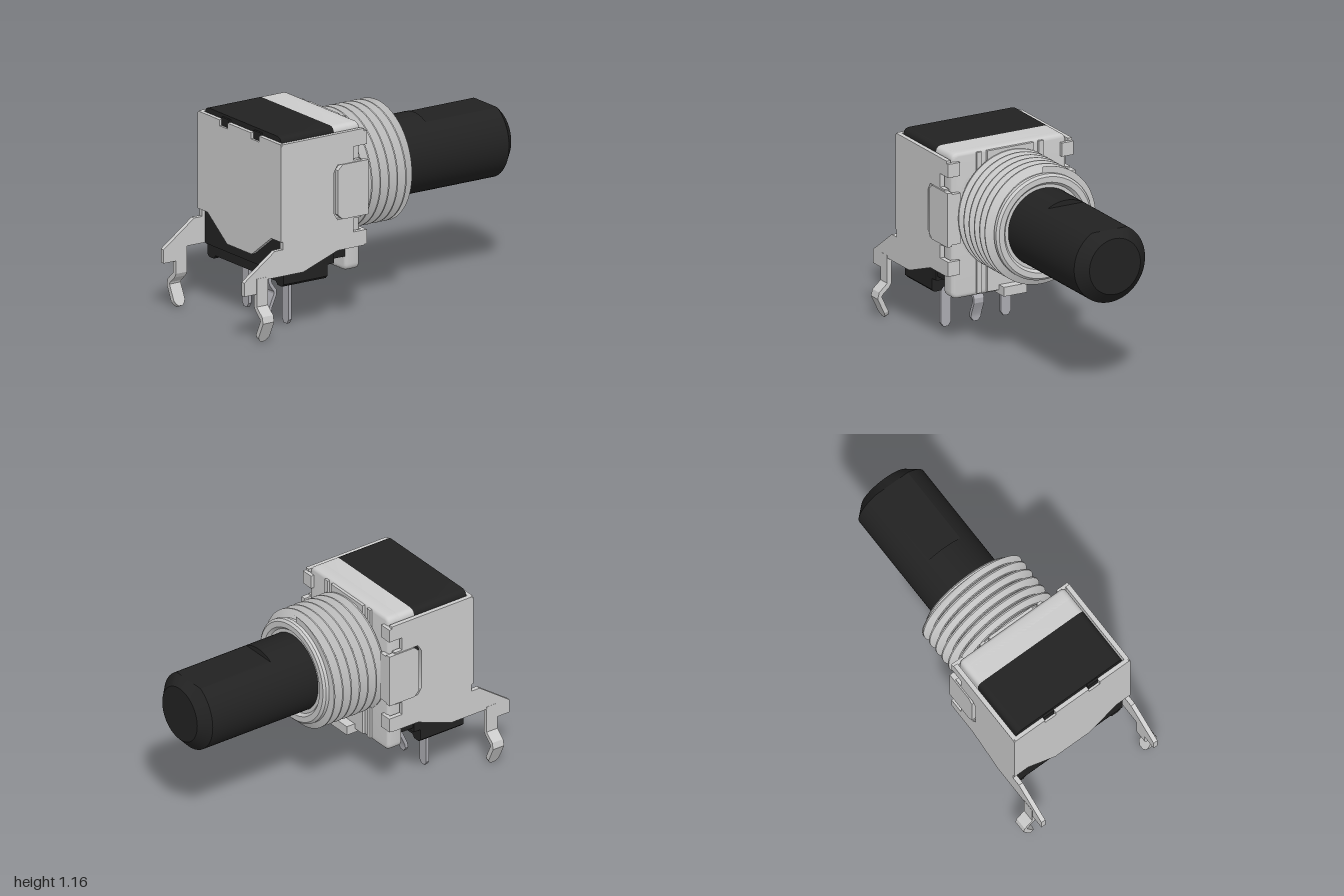
import * as THREE from 'three';
import { toCreasedNormals } from 'three/addons/utils/BufferGeometryUtils.js';

const AXIS_Y = 0.78;

export function createModel() {
  const model = new THREE.Group();
  const metal = new THREE.MeshStandardMaterial({ color: 0xcccccc });
  metal.name = 'light metal';
  const pinMetal = new THREE.MeshStandardMaterial({ color: 0xacacb2 });
  pinMetal.name = 'pin metal';
  const black = new THREE.MeshStandardMaterial({ color: 0x222222 });
  black.name = 'black plastic';

  const add = (name, geometry, material) => {
    const mesh = new THREE.Mesh(geometry, material);
    mesh.name = name;
    model.add(mesh);
    return mesh;
  };
  // Box given by its limits on each axis
  const box = (name, x0, x1, y0, y1, z0, z1, material) =>
    add(name, new THREE.BoxGeometry(x1 - x0, y1 - y0, z1 - z0), material)
      .position.set((x0 + x1) / 2, (y0 + y1) / 2, (z0 + z1) / 2);
  const outline = (points) => new THREE.Shape(points.map(([a, b]) => new THREE.Vector2(a, b)));
  const roundRect = (x0, x1, y0, y1, top, bottom) => {
    const s = new THREE.Shape();
    s.moveTo(x0 + bottom, y0).lineTo(x1 - bottom, y0);
    s.quadraticCurveTo(x1, y0, x1, y0 + bottom).lineTo(x1, y1 - top);
    s.quadraticCurveTo(x1, y1, x1 - top, y1).lineTo(x0 + top, y1);
    s.quadraticCurveTo(x0, y1, x0, y1 - top).lineTo(x0, y0 + bottom);
    s.quadraticCurveTo(x0, y0, x0 + bottom, y0);
    return s;
  };
  const extrudeZ = (shape, z0, z1, bevel = 0) => {
    const g = new THREE.ExtrudeGeometry(shape, {
      depth: z1 - z0 - 2 * bevel, curveSegments: 6, bevelEnabled: bevel > 0,
      bevelSize: bevel, bevelThickness: bevel, bevelOffset: -bevel, bevelSegments: 3,
    });
    return toCreasedNormals(g.translate(0, 0, z0 + bevel), 0.6);
  };
  // Bent strip from sections [x, y, width across z]
  const strip = (path, thick) => {
    const pos = [], index = [];
    path.forEach(([x, y, w], i) => {
      const a = path[Math.max(i - 1, 0)], b = path[Math.min(i + 1, path.length - 1)];
      const len = Math.hypot(b[0] - a[0], b[1] - a[1]);
      const nx = -(b[1] - a[1]) / len * thick / 2, ny = (b[0] - a[0]) / len * thick / 2;
      for (const [sn, sw] of [[1, 1], [-1, 1], [-1, -1], [1, -1]])
        pos.push(x + sn * nx, y + sn * ny, sw * w / 2);
      if (i === 0) return;
      for (let k = 0; k < 4; k++) {
        const p = 4 * (i - 1) + k, q = 4 * (i - 1) + (k + 1) % 4;
        index.push(p, q, q + 4, p, q + 4, p + 4);
      }
    });
    const e = 4 * (path.length - 1);
    index.push(0, 3, 2, 0, 2, 1, e, e + 1, e + 2, e, e + 2, e + 3);
    const g = new THREE.BufferGeometry();
    g.setAttribute('position', new THREE.Float32BufferAttribute(pos, 3));
    g.setIndex(index);
    return toCreasedNormals(g, 0.3);
  };
  // Turned part: profile of [radius, distance towards the back]
  const turned = (profile) =>
    new THREE.LatheGeometry(profile.map(([r, d]) => new THREE.Vector2(r, d)), 72);
  const layBack = (g, crease = 0.5) =>
    toCreasedNormals(g.rotateX(-Math.PI / 2).translate(0, AXIS_Y, 0), crease);

  // Shaft with a flat on its upper side
  const shaft = turned([[0.23, 0.1], [0.23, 0.45], [0.23, 0.452], [0.23, 0.94], [0.165, 1], [0, 1]]);
  const sp = shaft.attributes.position;
  for (let i = 0; i < sp.count; i++)
    if (sp.getY(i) > 0.451) sp.setZ(i, Math.min(sp.getZ(i), 0.2));
  add('shaft', layBack(shaft), black);

  // Threaded bushing: a ridged profile sheared into a helix
  const pitch = 0.0585, ridges = [];
  for (let k = -1; k < 7; k++) {
    for (const [f, r] of [[0, 0.303], [0.1, 0.303], [0.48, 0.35], [0.62, 0.35]])
      ridges.push([r, -0.19 + (k + f) * pitch]);
  }
  const thread = turned(ridges);
  const tp = thread.attributes.position, uv = thread.attributes.uv;
  for (let i = 0; i < tp.count; i++)
    tp.setY(i, THREE.MathUtils.clamp(tp.getY(i) + pitch * uv.getX(i), -0.18, 0.19));
  add('thread', layBack(thread), metal);
  add('bushing', layBack(turned([
    [0.302, -0.2], [0.302, 0.185], [0.312, 0.187], [0.312, 0.21], [0.298, 0.222],
    [0.265, 0.222], [0.25, 0.205], [0.225, 0.205],
  ])), metal);

  // Rear cap
  add('rearCap', extrudeZ(roundRect(-0.37, 0.37, 0.295, 1.155, 0.04, 0.04), 0.18, 0.28, 0.02), metal);
  add('capRim', extrudeZ(roundRect(-0.37, 0.37, 0.44, 1.155, 0.04, 0.01), 0.24, 0.36), metal);
  box('capRaisedPanel', -0.15, 0.15, 0.31, 1.145, 0.165, 0.19, metal);
  for (const s of [-1, 1])
    box('capRib', s * 0.2 - 0.015, s * 0.2 + 0.015, 0.31, 1.145, 0.168, 0.19, metal);
  box('locatingTab', -0.075, 0.075, 0.285, 0.34, 0.11, 0.215, metal);

  // Plastic body with two feet
  add('body', extrudeZ(roundRect(-0.37, 0.37, 0.355, 1.155, 0.04, 0.005), 0.36, 0.722), black);
  box('bodyStep', -0.36, 0.36, 0.38, 0.5, 0.27, 0.41, black);
  add('bodyBase', extrudeZ(outline([
    [-0.37, 0.4], [-0.37, 0.29], [-0.355, 0.275], [-0.31, 0.275], [-0.295, 0.295],
    [0.295, 0.295], [0.31, 0.275], [0.355, 0.275], [0.37, 0.29], [0.37, 0.4],
  ]), 0.405, 0.705), black);
  box('bodyKey', -0.075, 0.075, 0.285, 0.3, 0.47, 0.52, black);
  for (const s of [-1, 1])
    box('bodyLug', s * 0.155 - 0.036, s * 0.155 + 0.036, 1.09, 1.14, 0.71, 0.735, black);

  // Bracket front plate with two notches and a tapered lower edge
  const half = [
    [0.115, 1.125], [0.115, 1.09], [0.192, 1.09], [0.192, 1.125], [0.397, 1.125],
    [0.407, 1.115], [0.407, 0.555], [0.31, 0.555], [0.12, 0.415],
  ];
  const mirrored = half.map(([x, y]) => [-x, y]).reverse();
  add('frontPlate', extrudeZ(outline([...half, ...mirrored]), 0.724, 0.748), metal);

  // Bracket side plates, drawn in z and y
  const side = outline([
    [0.735, 1.125], [0.18, 1.125], [0.18, 1.03], [0.25, 1.03], [0.25, 0.95], [0.2, 0.95],
    [0.2, 0.61], [0.25, 0.61], [0.25, 0.53], [0.18, 0.53], [0.18, 0.44], [0.36, 0.44],
    [0.595, 0.355], [0.91, 0.355], [0.91, 0.28], [1, 0.28], [1, 0.36], [0.79, 0.51],
    [0.735, 0.51], [0.735, 0.55], [0.742, 0.56], [0.742, 1.12],
  ]);
  side.holes.push(new THREE.Path([
    [0.33, 0.62], [0.36, 0.62], [0.385, 0.66], [0.385, 0.9], [0.36, 0.94], [0.33, 0.94],
  ].map(([a, b]) => new THREE.Vector2(a, b))));

  for (const s of [-1, 1]) {
    const plate = extrudeZ(side, 0, 0.027).rotateY(-Math.PI / 2);
    add('sidePlate', plate.translate(s > 0 ? 0.407 : -0.38, 0, 0), metal);

    // Clip strap and folded fingers that hold the cap
    const strap = extrudeZ(outline([
      [0.155, 0.62], [0.33, 0.62], [0.362, 0.65], [0.362, 0.91], [0.33, 0.94], [0.155, 0.94],
    ]), 0, 0.03).rotateY(-Math.PI / 2);
    add('clipStrap', strap.translate(s > 0 ? 0.415 : -0.385, 0, 0), metal);
    const inner = s * 0.33, outer = s * 0.407;
    const x0 = Math.min(inner, outer), x1 = Math.max(inner, outer);
    box('strapFold', x0, x1, 0.63, 0.93, 0.155, 0.185, metal);
    box('upperFinger', x0, x1, 1.03, 1.11, 0.16, 0.185, metal);
    box('lowerFinger', x0, x1, 0.445, 0.53, 0.16, 0.185, metal);

    // Bent mounting leg with a rounded tip
    const leg = add('mountingLeg', strip([
      [0.394, 0.37, 0.076], [0.394, 0.205, 0.076], [0.403, 0.19, 0.076], [0.449, 0.15, 0.076],
      [0.456, 0.125, 0.076], [0.413, 0.035, 0.076], [0.406, 0.02, 0.06], [0.399, 0.005, 0.028],
    ], 0.028), metal);
    leg.rotation.y = s > 0 ? 0 : Math.PI;
    leg.position.z = 0.877;
  }

  // Three contact pins, the middle one kinked
  for (const x of [-0.195, 0, 0.195]) {
    const kink = x === 0
      ? [[0.56, 0.2, 0.065], [0.553, 0.18, 0.065], [0.524, 0.14, 0.065], [0.524, 0.12, 0.065], [0.555, 0.05, 0.065]]
      : [];
    const pin = add('contactPin', strip([
      [0.56, 0.32, 0.065], ...kink, [0.56, 0.025, 0.065], [0.56, 0, 0.03],
    ], 0.02), pinMetal);
    pin.rotation.y = -Math.PI / 2;
    pin.position.x = x;
  }
  return model;
}
